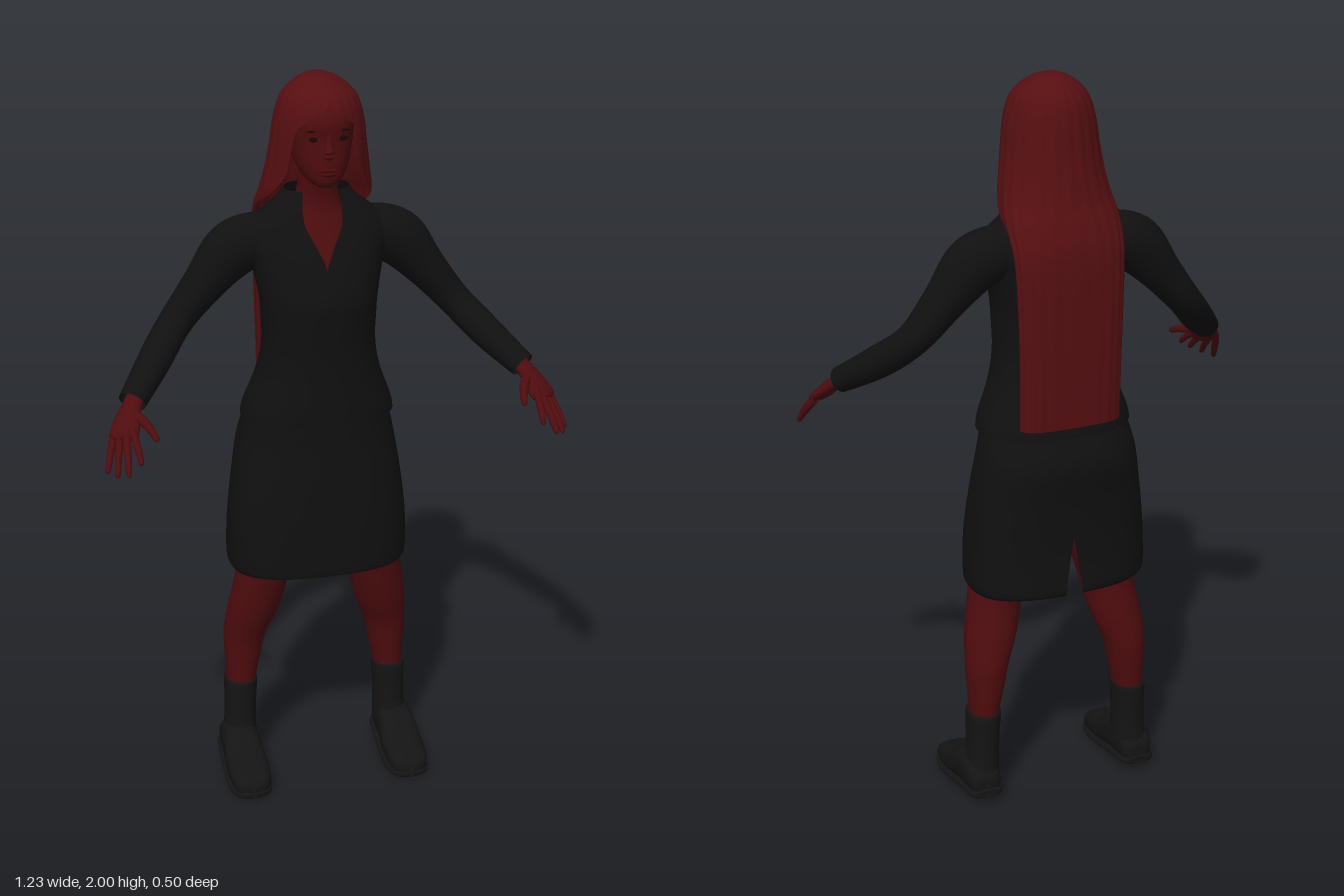
import * as THREE from 'three';
import { mergeVertices } from 'three/addons/utils/BufferGeometryUtils.js';

const mat = (name, color) => new THREE.MeshStandardMaterial({ name, color, side: THREE.DoubleSide });

// Smooth interpolation through rows of numbers
function sampleRows(rows, v) {
  const f = v * (rows.length - 1), i = Math.min(Math.floor(f), rows.length - 2), t = f - i;
  const at = (k) => rows[Math.max(0, Math.min(rows.length - 1, k))];
  const [a, b, c, d] = [at(i - 1), at(i), at(i + 1), at(i + 2)];
  return b.map((p, k) => {
    const m = (c[k] - a[k]) / 2, n = (d[k] - p) / 2, e = c[k] - p;
    return p + t * (m + t * (3 * e - 2 * m - n + t * (m + n - 2 * e)));
  });
}

// Surface from a grid of points
function grid(nu, nv, point) {
  const pos = [], idx = [];
  for (let j = 0; j <= nv; j++) for (let i = 0; i <= nu; i++) pos.push(...point(i / nu, j / nv));
  for (let j = 0; j < nv; j++) for (let i = 0; i < nu; i++) {
    const a = j * (nu + 1) + i, b = a + nu + 1;
    idx.push(a, a + 1, b + 1, a, b + 1, b);
  }
  let g = new THREE.BufferGeometry();
  g.setAttribute('position', new THREE.Float32BufferAttribute(pos, 3));
  g.setIndex(idx);
  g = mergeVertices(g, 1e-5);
  g.computeVertexNormals();
  return g;
}

// Stacked sections: [y, halfWidth, zFront, zBack, roundness, openingHalfAngle, centreX]
function loft(rows, { start = 0, ripple = 0, side = 1, nu = 48 } = {}) {
  const full = rows.map(([y, w, zf, zb, e = 2.2, gap = 0, cx = 0]) => [y, w, zf, zb, e, gap, cx]);
  return grid(nu, (full.length - 1) * 5, (u, v) => {
    const [y, w0, zf, zb, e, g, cx] = sampleRows(full, v);
    const gap = Math.max(0, g), w = Math.max(w0, 0.001);
    const t = start + gap + u * 2 * (Math.PI - gap), s = Math.sin(t), c = Math.cos(t);
    const pw = (n) => Math.sign(n) * Math.pow(Math.abs(n) < 1e-9 ? 0 : Math.abs(n), 2 / e);
    const k = 1 + ripple * Math.cos(t * 22);
    return [side * cx + w * k * pw(s), y, (zf + zb) / 2 + ((zf - zb) / 2) * k * pw(c)];
  });
}

// Limb along a path: [x, y, z, radiusAcross, radiusThrough]
function limb(rows, side = 1, nu = 20) {
  const at = (v) => sampleRows(rows, Math.max(0, Math.min(1, v)));
  const up = new THREE.Vector3(0, 1, 0);
  return grid(nu, (rows.length - 1) * 5, (u, v) => {
    const p = at(v), a = at(v - 0.01), b = at(v + 0.01);
    const t = new THREE.Vector3((b[0] - a[0]) * side, b[1] - a[1], b[2] - a[2]).normalize();
    const n = new THREE.Vector3().crossVectors(t, up).normalize();
    const m = new THREE.Vector3().crossVectors(t, n);
    const q = new THREE.Vector3(p[0] * side, p[1], p[2]);
    q.addScaledVector(n, p[3] * Math.cos(u * 2 * Math.PI)).addScaledVector(m, p[4] * Math.sin(u * 2 * Math.PI));
    return q.toArray();
  });
}

export function createModel() {
  const root = new THREE.Group();
  root.name = 'woman';
  const skin = mat('skin', 0x4e0c0e), hair = mat('hair', 0x560f11), cloth = mat('cloth', 0x101010);
  const boot = mat('boot', 0x141414), eye = mat('eye', 0x1a0405), lip = mat('lip', 0x480809);
  const add = (name, geometry, material) => {
    const m = new THREE.Mesh(geometry, material);
    m.name = name;
    root.add(m);
    return m;
  };
  const blob = (name, material, p, r, tilt = 0) => {
    const m = add(name, new THREE.SphereGeometry(1, 20, 12), material);
    m.position.set(...p);
    m.scale.set(...r);
    m.rotation.z = tilt;
  };

  // Head, neck and chest
  add('head', loft([
    [1.72, 0.004, 0.015, 0], [1.726, 0.027, 0.034, -0.03], [1.745, 0.05, 0.045, -0.075],
    [1.775, 0.067, 0.048, -0.115], [1.81, 0.077, 0.048, -0.14], [1.85, 0.084, 0.047, -0.155],
    [1.9, 0.086, 0.047, -0.155], [1.95, 0.068, 0.012, -0.13], [1.975, 0.03, -0.02, -0.1],
  ]), skin);
  add('neckAndChest', loft([
    [1.45, 0.09, 0.03, -0.15], [1.52, 0.1, 0.012, -0.15], [1.6, 0.09, -0.018, -0.15],
    [1.65, 0.065, -0.033, -0.135], [1.7, 0.053, -0.03, -0.12], [1.77, 0.05, -0.01, -0.11],
  ]), skin);

  // Face
  add('nose', limb([
    [0, 1.868, 0.04, 0.008, 0.008], [0, 1.84, 0.046, 0.009, 0.01], [0, 1.818, 0.052, 0.014, 0.013],
    [0, 1.806, 0.047, 0.012, 0.008], [0, 1.802, 0.044, 0.002, 0.002],
  ]), skin);
  blob('upperLip', lip, [0, 1.773, 0.047], [0.025, 0.006, 0.008]);
  blob('lowerLip', lip, [0, 1.763, 0.046], [0.021, 0.007, 0.008]);
  for (const s of [1, -1]) {
    blob('eye', eye, [s * 0.034, 1.853, 0.039], [0.017, 0.007, 0.004], s * 0.05);
    blob('eyebrow', eye, [s * 0.036, 1.875, 0.039], [0.021, 0.003, 0.004], s * -0.08);
  }

  // Long hair, open around the face and hanging down the back
  add('hair', loft([
    [1.11, 0.138, -0.15, -0.238, 3, 1.6], [1.25, 0.139, -0.152, -0.243, 3, 1.6],
    [1.4, 0.142, -0.15, -0.245, 3, 1.6], [1.56, 0.148, -0.13, -0.243, 2.8, 1.6],
    [1.64, 0.152, -0.05, -0.226, 2.5, 1.55], [1.69, 0.147, 0.01, -0.21, 2.2, 1.15],
    [1.75, 0.136, 0.038, -0.197, 2, 0.85], [1.82, 0.125, 0.05, -0.186, 2, 0.8],
    [1.88, 0.117, 0.052, -0.179, 2, 0.68], [1.925, 0.105, 0.046, -0.17, 2, 0.08],
    [1.955, 0.089, 0.028, -0.155, 2, 0], [1.985, 0.053, -0.012, -0.125, 2, 0],
    [1.997, 0.022, -0.045, -0.098, 2, 0], [2, 0.001, -0.07, -0.072, 2, 0],
  ], { ripple: 0.01, nu: 132 }), hair);

  // Jacket with open neckline and folded collar
  add('jacket', loft([
    [1.075, 0.207, 0.05, -0.228, 2.3], [1.11, 0.2, 0.05, -0.222, 2.3], [1.2, 0.167, 0.049, -0.2],
    [1.28, 0.152, 0.05, -0.185], [1.36, 0.153, 0.056, -0.185], [1.42, 0.158, 0.057, -0.19],
    [1.5, 0.175, 0.036, -0.195, 2.2, 0], [1.56, 0.19, 0.016, -0.195, 2.2, 0.1],
    [1.61, 0.178, -0.003, -0.185, 2.2, 0.24], [1.64, 0.14, -0.013, -0.17, 2.2, 0.34],
    [1.665, 0.102, -0.022, -0.155, 2.2, 0.48], [1.695, 0.085, -0.03, -0.145, 2.2, 0.56],
  ], { nu: 64 }), cloth);
  add('collar', loft([
    [1.62, 0.172, 0.003, -0.185, 2.2, 0.28], [1.65, 0.132, -0.005, -0.17, 2.2, 0.4],
    [1.675, 0.103, -0.018, -0.155, 2.2, 0.52], [1.697, 0.085, -0.029, -0.146, 2.2, 0.58],
  ]), cloth);

  // Skirt with a slit at the back
  add('skirt', loft([
    [0.632, 0.238, 0.046, -0.238, 2.6, 0.05], [0.65, 0.247, 0.048, -0.243, 2.6, 0.045],
    [0.72, 0.248, 0.047, -0.238, 2.6, 0.02], [0.8, 0.243, 0.045, -0.237, 2.6, 0],
    [0.9, 0.231, 0.04, -0.242, 2.5, 0], [1, 0.215, 0.033, -0.25, 2.4, 0],
    [1.08, 0.196, 0.031, -0.224, 2.3, 0], [1.16, 0.17, 0.02, -0.195, 2.2, 0],
  ], { start: Math.PI, nu: 64 }), cloth);

  for (const s of [1, -1]) {
    const tag = s > 0 ? 'left' : 'right';
    // Sleeve
    add(tag + 'Sleeve', limb([
      [0.11, 1.57, -0.095, 0.05, 0.06], [0.17, 1.56, -0.1, 0.064, 0.072], [0.23, 1.53, -0.1, 0.062, 0.075],
      [0.3, 1.45, -0.098, 0.053, 0.056], [0.38, 1.355, -0.085, 0.046, 0.044],
      [0.45, 1.28, -0.015, 0.044, 0.043], [0.525, 1.21, 0.075, 0.037, 0.034],
    ], s, 32), cloth);

    // Hand with spread fingers
    add(tag + 'Palm', limb([
      [0.505, 1.228, 0.055, 0.026, 0.022], [0.53, 1.2, 0.09, 0.027, 0.019], [0.548, 1.17, 0.12, 0.037, 0.018],
      [0.562, 1.145, 0.147, 0.036, 0.014], [0.565, 1.138, 0.154, 0.004, 0.002],
    ], s), skin);
    const fingers = { index: [0.531, 1.103, 0.238], middle: [0.566, 1.078, 0.25], ring: [0.592, 1.068, 0.225], little: [0.611, 1.066, 0.185] };
    Object.entries(fingers).forEach(([name, [x, y, z]], i) => {
      const bx = 0.538 + i * 0.016, by = 1.156 - i * 0.007, bz = 0.16 - i * 0.011;
      const on = (k, r, lift = 0) => [bx + (x - bx) * k, by + (y - by) * k + lift, bz + (z - bz) * k, r, r];
      add(tag + name + 'Finger', limb([on(-0.2, 0.009), on(0.2, 0.01, 0.003), on(0.6, 0.009, 0.004), on(0.92, 0.007), on(1, 0.001)], s, 12), skin);
    });
    add(tag + 'Thumb', limb([
      [0.53, 1.19, 0.105, 0.014, 0.014], [0.508, 1.18, 0.14, 0.013, 0.013], [0.494, 1.167, 0.178, 0.01, 0.01],
      [0.487, 1.156, 0.205, 0.008, 0.008], [0.485, 1.152, 0.213, 0.001, 0.001],
    ], s, 12), skin);

    // Leg
    add(tag + 'Leg', loft([
      [0.24, 0.04, -0.07, -0.166, 2, 0, 0.214], [0.28, 0.042, -0.066, -0.17, 2, 0, 0.213],
      [0.34, 0.05, -0.06, -0.175, 2, 0, 0.208], [0.41, 0.059, -0.052, -0.177, 2, 0, 0.202],
      [0.49, 0.071, -0.026, -0.165, 2, 0, 0.183], [0.6, 0.075, 0, -0.147, 2, 0, 0.16],
      [0.72, 0.085, 0.02, -0.165, 2, 0, 0.135], [0.88, 0.09, 0.02, -0.19, 2, 0, 0.1],
    ], { side: s, nu: 32 }), skin);

    // Boot shaft
    add(tag + 'BootShaft', loft([
      [0.09, 0.048, -0.05, -0.172, 2.2, 0, 0.222], [0.14, 0.044, -0.062, -0.168, 2.2, 0, 0.219],
      [0.2, 0.044, -0.063, -0.17, 2.2, 0, 0.217], [0.262, 0.046, -0.062, -0.174, 2.2, 0, 0.215],
      [0.27, 0.041, -0.067, -0.169, 2.2, 0, 0.214],
    ], { side: s, nu: 32 }), boot);

    // Boot foot and sole, lofted from heel to toe: [z, halfWidth, -yBottom, -yTop]
    const foot = (name, rows) => add(name, loft(rows.map((r) => [...r, 2.7, 0, 0.227]), { side: s, nu: 32 }).rotateX(Math.PI / 2), boot);
    foot(tag + 'BootFoot', [
      [-0.178, 0.004, -0.055, -0.065], [-0.172, 0.038, -0.035, -0.095], [-0.12, 0.05, -0.025, -0.135],
      [-0.06, 0.053, -0.02, -0.13], [0, 0.058, -0.012, -0.092], [0.06, 0.056, -0.008, -0.073],
      [0.098, 0.043, -0.008, -0.053], [0.112, 0.004, -0.018, -0.03],
    ]);
    foot(tag + 'BootSole', [
      [-0.182, 0.004, -0.033, -0.043], [-0.176, 0.044, -0.027, -0.05], [-0.1, 0.055, -0.02, -0.043],
      [-0.02, 0.061, -0.008, -0.03], [0.05, 0.061, 0, -0.022], [0.1, 0.046, 0, -0.022], [0.116, 0.006, -0.006, -0.02],
    ]);
  }
  return root;
}
